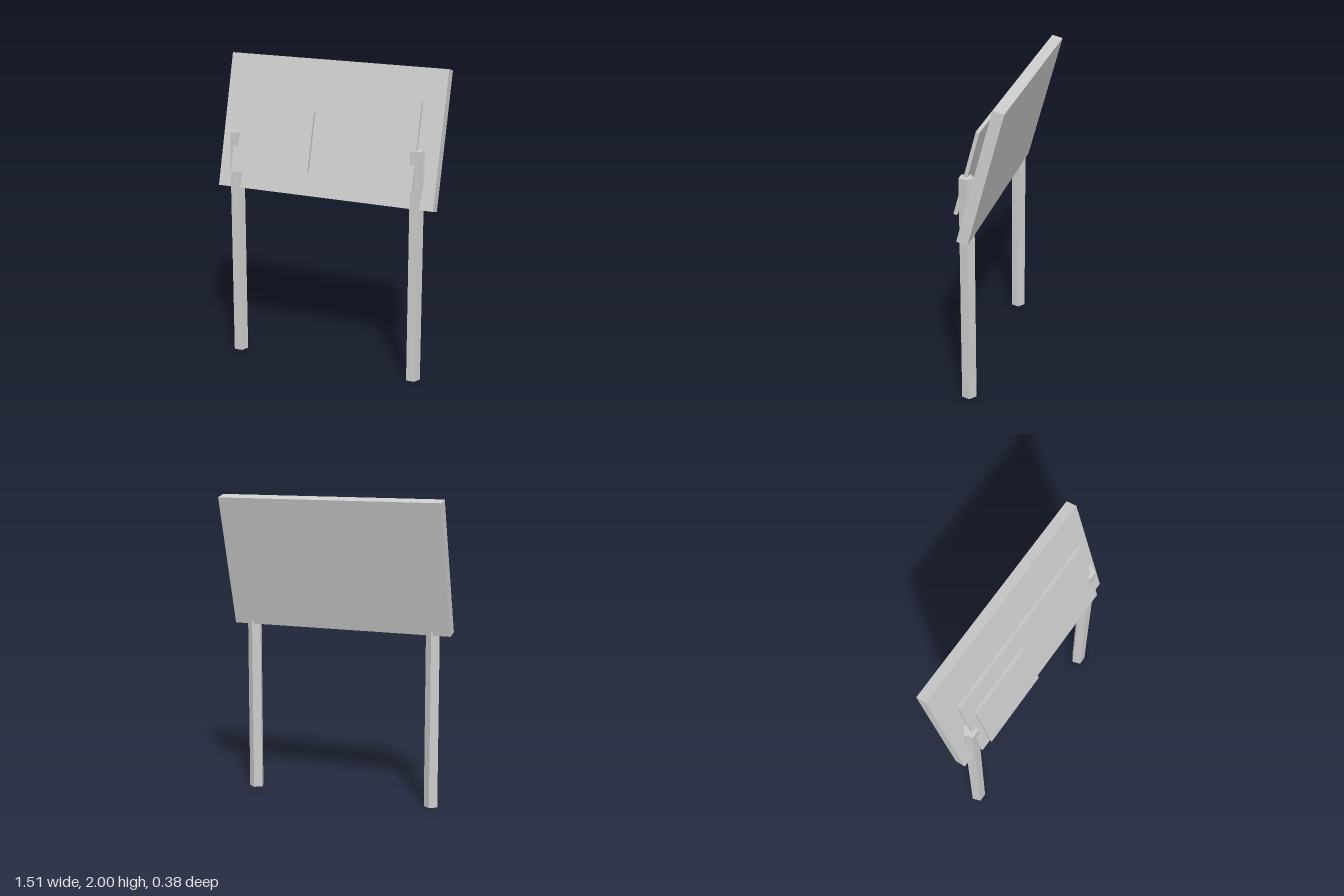
import * as THREE from 'three';

export function createModel() {
  const model = new THREE.Group();
  const grey = new THREE.MeshStandardMaterial({ color: 0xcccccc, flatShading: true });
  grey.name = 'light grey';

  const add = (name, geometry, x, y, z) => {
    const mesh = new THREE.Mesh(geometry, grey);
    mesh.name = name;
    mesh.position.set(x, y, z);
    model.add(mesh);
    return mesh;
  };

  // Panels all lean back by the same angle
  const tilt = -Math.PI / 12;
  const panel = (name, w, h, d, x, y, z) => {
    add(name, new THREE.BoxGeometry(w, h, d), x, y, z).rotation.x = tilt;
  };
  panel('backBoard', 1.51, 0.88, 0.072, 0, 1.566, -0.04);
  panel('middlePanel', 1.264, 0.563, 0.023, 0, 1.54, 0.077);
  panel('smallFrontPanel', 0.505, 0.382, 0.023, -0.3175, 1.5125, 0.126);

  // Five-sided posts with a flat side to the front
  const postGeometry = new THREE.CylinderGeometry(0.0485, 0.0485, 1.52, 5);
  postGeometry.rotateY(Math.PI);
  for (const side of [-1, 1]) {
    add(side > 0 ? 'leftPost' : 'rightPost', postGeometry, side * 0.63, 0.76, 0.078);
  }
  return model;
}
